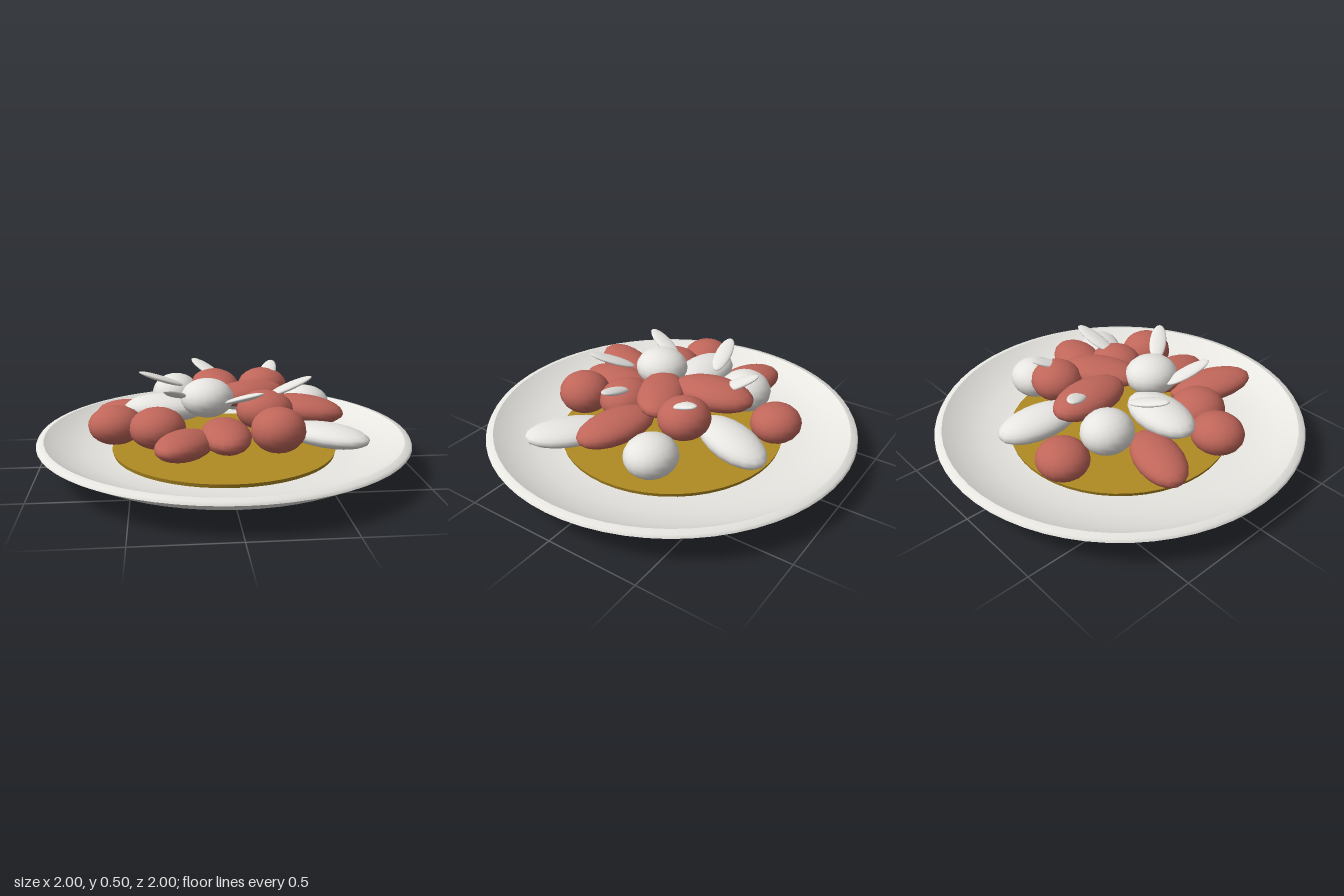
import * as THREE from 'three';

const mat = (name, color) => {
  const m = new THREE.MeshStandardMaterial({ color });
  m.name = name;
  return m;
};

export function createModel() {
  const group = new THREE.Group();
  const porcelain = mat('porcelain', 0xf0efea);
  const sauceGold = mat('sauceGold', 0xb08a22);
  const meatRed = mat('meatRed', 0xc0665a);
  const cream = mat('cream', 0xf2f0ec);

  const add = (name, geometry, material) => {
    const mesh = new THREE.Mesh(geometry, material);
    mesh.name = name;
    group.add(mesh);
    return mesh;
  };
  const lathe = (pts) => new THREE.LatheGeometry(pts.map(([r, y]) => new THREE.Vector2(r, y)), 64);

  // Plate: foot and underside, rim, then the shallow inner well
  const plate = [
    ['plateUnderside', [[0, 0], [0.55, 0], [0.6, 0.05], [0.86, 0.087], [1, 0.165]]],
    ['plateRim', [[1, 0.165], [0.992, 0.18], [0.96, 0.187]]],
    ['plateWell', [[0.96, 0.187], [0.87, 0.137], [0.75, 0.105], [0.6, 0.085], [0, 0.078]]],
  ];
  for (const [name, pts] of plate) add(name, lathe(pts), porcelain);

  // Sauce pool
  add('sauce', new THREE.CylinderGeometry(0.607, 0.6, 0.026, 48), sauceGold).position.y = 0.092;

  // Rounded pieces: long axis along heading (degrees from +x towards +z), tilt lifts that end
  const ball = new THREE.SphereGeometry(1, 18, 12);
  const piece = (name, material, [x, y, z], [a, b, c], heading = 0, tilt = 0) => {
    const mesh = add(name, ball, material);
    mesh.position.set(x, y, z);
    mesh.scale.set(a, b, c);
    mesh.rotation.set(0, -THREE.MathUtils.degToRad(heading), THREE.MathUtils.degToRad(tilt), 'YZX');
  };

  // Red pieces: position, half sizes, heading, tilt
  const reds = [
    [[-0.18, 0.235, -0.54], [0.14, 0.1, 0.135]],
    [[-0.49, 0.235, -0.19], [0.22, 0.08, 0.125], 200],
    [[-0.575, 0.272, 0.14], [0.142, 0.1, 0.135]],
    [[-0.36, 0.275, 0.225], [0.145, 0.105, 0.15]],
    [[-0.23, 0.26, 0.47], [0.235, 0.07, 0.125], 114, 6],
    [[-0.025, 0.275, 0.385], [0.21, 0.075, 0.125], 88],
    [[0.23, 0.307, 0.415], [0.137, 0.112, 0.14]],
    [[0.2, 0.335, 0.15], [0.15, 0.105, 0.14]],
    [[0.42, 0.31, 0.05], [0.22, 0.075, 0.125], 20, -4],
    [[0.24, 0.37, -0.24], [0.14, 0.105, 0.135]],
    [[-0.03, 0.385, -0.24], [0.225, 0.08, 0.13], 265],
    [[0.13, 0.385, -0.02], [0.22, 0.065, 0.125], 332],
  ];
  for (const r of reds) piece('redPiece', meatRed, ...r);

  // Pale pieces
  const pales = [
    [[0.13, 0.25, -0.455], [0.22, 0.075, 0.125], 286, -8],
    [[-0.25, 0.325, -0.31], [0.135, 0.11, 0.14]],
    [[-0.315, 0.32, -0.005], [0.22, 0.075, 0.13], 184],
    [[-0.1, 0.405, 0.135], [0.138, 0.1, 0.143]],
    [[0.48, 0.268, -0.21], [0.143, 0.105, 0.135]],
    [[0.5, 0.235, 0.29], [0.235, 0.058, 0.125], 40],
  ];
  for (const p of pales) piece('palePiece', cream, ...p);

  // Pinwheel of thin garnish slices, outer ends raised
  for (let i = 0; i < 6; i++) {
    const deg = 19 + i * 60;
    const t = THREE.MathUtils.degToRad(deg);
    piece('garnishSlice', cream,
      [0.355 * Math.cos(t), 0.452, 0.355 * Math.sin(t)], [0.13, 0.016, 0.047], deg - 30, 20);
  }
  return group;
}
